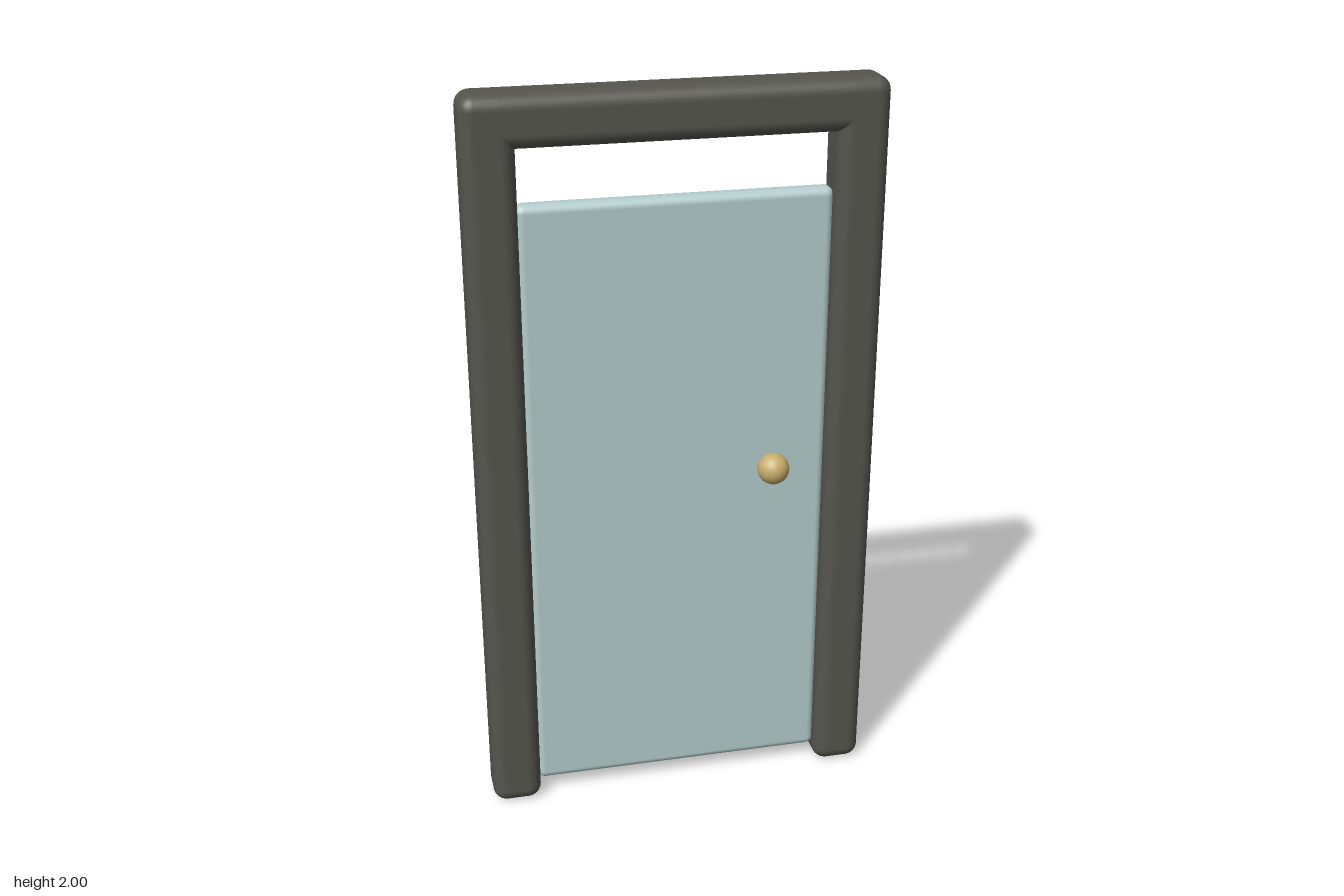
import * as THREE from 'three';
import { RoundedBoxGeometry } from 'three/addons/geometries/RoundedBoxGeometry.js';

const FRAME = 0.135; // square section of the frame bars
const WIDTH = 1.075;
const HEIGHT = 2;
const Z = -0.014; // centre plane of the frame and panel

export function createModel() {
  const model = new THREE.Group();
  model.name = 'door';

  const frameMaterial = new THREE.MeshStandardMaterial({ color: 0x55554e });
  const panelMaterial = new THREE.MeshStandardMaterial({ color: 0xb4cccc });
  const knobMaterial = new THREE.MeshStandardMaterial({ color: 0xc8ae6c });

  function add(name, geometry, material, x, y, z) {
    const mesh = new THREE.Mesh(geometry, material);
    mesh.name = name;
    mesh.position.set(x, y, z);
    model.add(mesh);
  }

  // Two posts, with a lintel running across their full width
  const post = new RoundedBoxGeometry(FRAME, HEIGHT, FRAME, 4, 0.038);
  for (const [name, side] of [['leftPost', 1], ['rightPost', -1]]) {
    add(name, post, frameMaterial, side * (WIDTH - FRAME) / 2, HEIGHT / 2, Z);
  }
  const lintel = new RoundedBoxGeometry(WIDTH, FRAME, FRAME, 4, 0.038);
  add('lintel', lintel, frameMaterial, 0, HEIGHT - FRAME / 2, Z);

  // Door panel, with gaps above and below
  const panel = new RoundedBoxGeometry(0.815, 1.68, 0.056, 4, 0.022);
  add('panel', panel, panelMaterial, 0, 0.88, Z);

  // Round knob on the front only
  add('knob', new THREE.SphereGeometry(0.043, 24, 16), knobMaterial, 0.256, 0.963, 0.038);

  return model;
}
